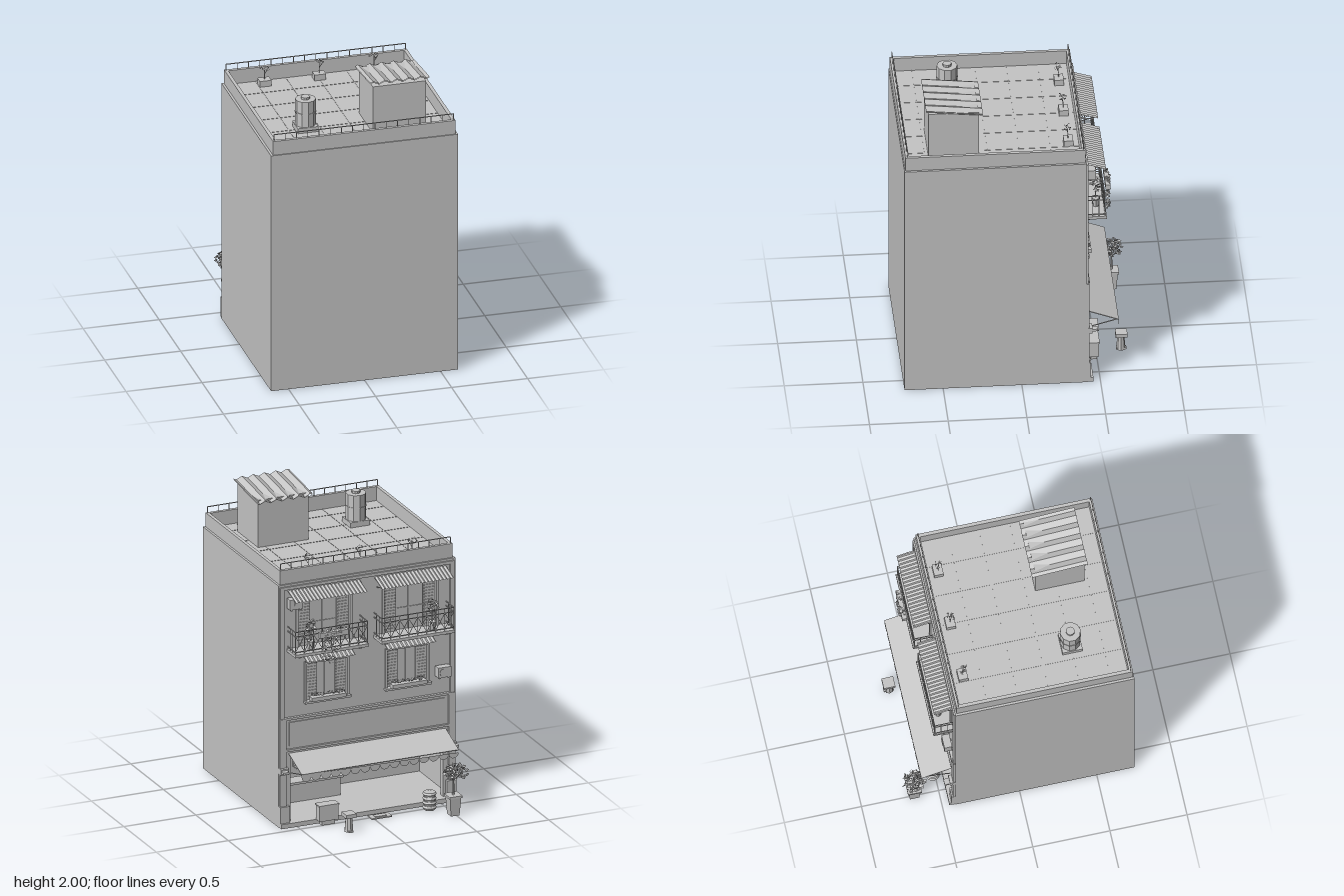
import * as THREE from 'three';
import { mergeGeometries } from 'three/addons/utils/BufferGeometryUtils.js';

export function createModel() {
  const root = new THREE.Group();
  root.name = 'townhouse';
  const plaster = new THREE.MeshStandardMaterial({ color: 0xc4c4c4, side: THREE.DoubleSide, flatShading: true });
  plaster.name = 'plain grey';

  let seed = 7;
  const rnd = () => (seed = (seed * 16807) % 2147483647) / 2147483647;
  const add = (name, geos) => {
    const list = [].concat(geos).map((g) => (g.index ? g.toNonIndexed() : g));
    const mesh = new THREE.Mesh(mergeGeometries(list), plaster);
    mesh.name = name;
    root.add(mesh);
    return mesh;
  };
  // box from its limits
  const box = (x0, x1, y0, y1, z0, z1) =>
    new THREE.BoxGeometry(Math.abs(x1 - x0), y1 - y0, Math.abs(z1 - z0)).translate((x0 + x1) / 2, (y0 + y1) / 2, (z0 + z1) / 2);
  // thin square bar between two points
  const bar = (a, b, w = 0.005) => {
    const p = new THREE.Vector3(...a), q = new THREE.Vector3(...b), d = q.clone().sub(p);
    const g = new THREE.BoxGeometry(w, d.length(), w);
    g.applyQuaternion(new THREE.Quaternion().setFromUnitVectors(new THREE.Vector3(0, 1, 0), d.clone().normalize()));
    return g.translate(...p.add(q).multiplyScalar(0.5).toArray());
  };
  const cyl = (r0, r1, h, n, x, y, z) => new THREE.CylinderGeometry(r0, r1, h, n).translate(x, y + h / 2, z);
  // sloping corrugated sheet
  const corrugated = (x0, x1, za, ya, zb, yb, waves, amp) => {
    const g = new THREE.PlaneGeometry(1, 1, waves * 4, 1), p = g.attributes.position;
    for (let i = 0; i < p.count; i++) {
      const u = p.getX(i) + 0.5, v = p.getY(i) + 0.5;
      p.setXYZ(i, x0 + (x1 - x0) * u, ya + (yb - ya) * v + amp * Math.sin(u * waves * 2 * Math.PI), za + (zb - za) * v);
    }
    g.computeVertexNormals();
    return g;
  };
  // loose cloud of small flat leaves
  const leaves = (x, y, z, rx, ry, rz, n, s) => Array.from({ length: n }, () => {
    const v = new THREE.Vector3(rnd() - 0.5, rnd() - 0.5, rnd() - 0.5).normalize().multiplyScalar(Math.cbrt(rnd()));
    return new THREE.CircleGeometry(s * (0.7 + 0.6 * rnd()), 4).scale(1, 0.6, 1)
      .rotateX(rnd() * 6).rotateY(rnd() * 6).translate(x + v.x * rx, y + v.y * ry, z + v.z * rz);
  });

  const F = -0.415; // facade plane

  // shell, open below
  add('sideWalls', [-1, 1].map((s) => box(s * 0.615, s * 0.6, 0, 1.635, F, 0.745)));
  add('gardenWall', box(-0.615, 0.615, 0, 1.635, 0.73, 0.745));
  add('roofDeck', box(-0.61, 0.61, 1.62, 1.635, F, 0.74));
  const tiles = [];
  for (let i = -2; i <= 2; i++) tiles.push(box(i * 0.2 - 0.001, i * 0.2 + 0.001, 1.635, 1.637, -0.38, 0.71));
  for (let z = -0.2; z < 0.7; z += 0.2) tiles.push(box(-0.58, 0.58, 1.635, 1.637, z - 0.001, z + 0.001));
  add('tileJoints', tiles);
  add('parapet', [box(-0.6, 0.6, 1.63, 1.73, -0.405, -0.382), box(-0.6, 0.6, 1.63, 1.73, 0.715, 0.738),
    ...[-1, 1].map((s) => box(s * 0.6, s * 0.578, 1.63, 1.73, -0.382, 0.715))]);
  for (const z of [-0.393, 0.726]) {
    const g = [bar([-0.59, 1.772, z], [0.59, 1.772, z])];
    for (let i = 0; i <= 16; i++) g.push(bar([-0.59 + i * 0.07375, 1.73, z], [-0.59 + i * 0.07375, 1.772, z], 0.004));
    add('roofRailing', g);
  }

  // facade with openings
  const rect = (C, x0, x1, y0, y1) => new C([[x0, y0], [x1, y0], [x1, y1], [x0, y1]].map((p) => new THREE.Vector2(...p)));
  const wall = rect(THREE.Shape, -0.6, 0.6, 0, 1.62);
  wall.holes.push(rect(THREE.Path, -0.53, 0.53, 0.03, 0.47));
  for (const s of [-1, 1]) {
    wall.holes.push(rect(THREE.Path, s * 0.3 - 0.18, s * 0.3 + 0.18, 1.2, 1.53));
    wall.holes.push(rect(THREE.Path, s * 0.28 - 0.14, s * 0.28 + 0.14, 0.83, 1.08));
  }
  add('facade', new THREE.ExtrudeGeometry(wall, { depth: 0.04, bevelEnabled: false }).translate(0, 0, F));
  add('cornices', [box(-0.58, 0.58, 0.72, 0.735, F, -0.435), box(-0.58, 0.58, 0.505, 0.52, F, -0.43),
    box(-0.58, 0.58, 1.6, 1.62, F, -0.425)]);
  add('signPanel', box(-0.54, 0.54, 0.54, 0.7, F, -0.422));
  add('pilasters', [-1, 1].flatMap((s) => [box(s * 0.61, s * 0.565, 0, 0.73, F, -0.43), box(s * 0.605, s * 0.575, 0.73, 1.62, F, -0.425),
    box(s * 0.612, s * 0.545, 0, 0.14, F, -0.44), box(s * 0.612, s * 0.555, 0.36, 0.4, F, -0.45),
    box(s * 0.61, s * 0.57, 0.375, 0.39, -0.45, -0.485)]));
  add('doorstep', box(-0.61, 0.61, 0, 0.03, F, -0.455));

  // shop room
  add('shopRoom', [box(-0.6, 0.6, 0.01, 0.03, F, 0.07), box(-0.6, 0.6, 0.48, 0.49, F, 0.07), box(-0.6, 0.6, 0.03, 0.48, 0.06, 0.07),
    ...[-1, 1].map((s) => box(s * 0.59, s * 0.58, 0.03, 0.48, F, 0.06))]);
  add('counter', [box(0.05, 0.4, 0.03, 0.15, -0.12, -0.04), box(0.03, 0.42, 0.15, 0.165, -0.13, -0.03)]);
  const shelf = [box(0.1, 0.3, 0.2, 0.4, 0.05, 0.06), box(-0.12, -0.04, 0.22, 0.4, 0.04, 0.06)];
  for (let i = 0; i < 4; i++) {
    shelf.push(box(0.1, 0.3, 0.2 + i * 0.06, 0.208 + i * 0.06, 0, 0.06));
    for (let k = 0; k < 5; k++) shelf.push(cyl(0.01, 0.012, 0.035, 6, 0.12 + k * 0.04, 0.208 + i * 0.06, 0.03));
  }
  add('shelves', shelf);
  add('ceilingLamps', [[0.42, -0.3], [0.14, -0.25], [-0.1, -0.1], [-0.25, -0.25], [0.3, -0.05]].flatMap(([x, z]) =>
    [bar([x, 0.48, z], [x, 0.43, z], 0.003), cyl(0.008, 0.028, 0.02, 8, x, 0.41, z)]));

  // shop awning with a scalloped valance
  const slope = new THREE.BoxGeometry(1.09, 0.005, 0.215).rotateX(-Math.atan2(0.075, 0.2)).translate(0, 0.452, -0.52);
  const val = new THREE.Shape();
  val.moveTo(-0.545, 0.414);
  for (let i = 0; i < 16; i++) {
    const w = 1.09 / 16;
    val.absarc(-0.545 + (i + 0.5) * w, 0.397, w / 2, Math.PI, 2 * Math.PI, false);
  }
  val.lineTo(0.545, 0.414);
  add('shopAwning', slope);
  add('awningValance', new THREE.ShapeGeometry(val, 5).translate(0, 0, -0.62));
  add('awningArms', [-1, 1].map((s) => bar([s * 0.53, 0.36, -0.43], [s * 0.53, 0.412, -0.62])));

  // slatted shutter
  const shutter = (x, w, y0, y1) => {
    const g = [box(x - w / 2, x + w / 2, y0, y1, -0.4, -0.408)];
    for (let y = y0 + 0.015; y < y1 - 0.01; y += 0.02) g.push(box(x - w / 2 + 0.008, x + w / 2 - 0.008, y, y + 0.008, -0.408, -0.413));
    return g;
  };
  const frame = (x, w, y0, y1) => [box(x - w, x - w - 0.015, y0, y1 + 0.015, F, -0.425), box(x + w, x + w + 0.015, y0, y1 + 0.015, F, -0.425),
    box(x - w, x + w, y1, y1 + 0.015, F, -0.425)];
  for (const s of [-1, 1]) {
    const x = s * 0.3, b0 = x - 0.25, b1 = x + 0.25, z = -0.535;
    // balcony doors
    add('balconyDoor', [box(x - 0.18, x + 0.18, 1.2, 1.53, -0.38, -0.39), box(x - 0.005, x + 0.005, 1.2, 1.53, -0.39, -0.398),
      box(x - 0.1, x + 0.1, 1.34, 1.348, -0.39, -0.396), ...frame(x, 0.18, 1.2, 1.53)]);
    add('doorShutters', [...shutter(x - 0.135, 0.085, 1.2, 1.53), ...shutter(x + 0.135, 0.085, 1.2, 1.53)]);
    add('balconyCanopy', corrugated(b0, b1, F, 1.59, -0.54, 1.55, 20, 0.004));
    add('canopyArms', [b0 + 0.02, b1 - 0.02].map((q) => bar([q, 1.52, F], [q, 1.55, -0.53])));
    // balcony
    add('balconySlab', [box(b0 - 0.005, b1 + 0.005, 1.18, 1.2, F, -0.545), box(b0 + 0.03, b0 + 0.05, 1.165, 1.18, F, -0.52), box(b1 - 0.05, b1 - 0.03, 1.165, 1.18, F, -0.52)]);
    const rail = [];
    for (const y of [1.215, 1.32, 1.35]) {
      rail.push(bar([b0, y, z], [b1, y, z]));
      for (const q of [b0, b1]) rail.push(bar([q, y, F], [q, y, z]));
    }
    for (let i = 0; i <= 8; i++) {
      const q = b0 + i * 0.0625;
      rail.push(bar([q, 1.2, z], [q, 1.35, z], 0.004));
      if (i < 8) rail.push(bar([q, 1.215, z], [q + 0.0625, 1.32, z], 0.003), bar([q, 1.32, z], [q + 0.0625, 1.215, z], 0.003));
    }
    for (const q of [b0, b1]) for (const d of [-0.455, -0.495]) rail.push(bar([q, 1.2, d], [q, 1.35, d], 0.004));
    add('balconyRailing', rail);
    // lower windows
    const c = s * 0.28;
    add('window', [box(c - 0.14, c + 0.14, 0.83, 1.08, -0.38, -0.39), box(c - 0.005, c + 0.005, 0.83, 1.08, -0.39, -0.398), ...frame(c, 0.14, 0.83, 1.08),
      box(c - 0.16, c + 0.16, 0.815, 0.83, F, -0.445)]);
    add('windowShutters', [...shutter(c - 0.1, 0.075, 0.83, 1.08), ...shutter(c + 0.1, 0.075, 0.83, 1.08)]);
    add('windowCanopy', [corrugated(c - 0.17, c + 0.17, F, 1.145, -0.49, 1.115, 12, 0.003), ...[-0.15, 0.15].map((q) => bar([c + q, 1.09, F], [c + q, 1.118, -0.485]))]);
    const pots = [box(c - 0.12, c + 0.12, 0.83, 0.855, -0.42, -0.46)];
    for (let i = 0; i < 7; i++) pots.push(...leaves(c - 0.1 + i * 0.033, 0.868, -0.44, 0.016, 0.014, 0.016, 8, 0.009));
    add('windowFlowerBox', pots);
    // air conditioner
    const ay = s > 0 ? 1.48 : 0.86;
    add('airConditioner', [box(s * 0.47, s * 0.56, ay, ay + 0.068, -0.425, -0.475), cyl(0.025, 0.025, 0.004, 12, 0, 0, 0).rotateX(Math.PI / 2).translate(s * 0.505, ay + 0.034, -0.479),
      box(s * 0.48, s * 0.49, ay - 0.01, ay, F, -0.47), box(s * 0.54, s * 0.55, ay - 0.01, ay, F, -0.47)]);
    // balcony plant
    const px = s * 0.42;
    add('balconyPlant', [cyl(0.028, 0.02, 0.06, 8, px, 1.2, -0.485), bar([px, 1.25, -0.485], [px, 1.35, -0.485]), ...leaves(px, 1.36, -0.485, 0.05, 0.045, 0.04, 50, 0.012)]);
  }
  add('hangingVine', [box(0.2, 0.4, 1.3, 1.335, -0.55, -0.58), ...leaves(0.3, 1.33, -0.568, 0.1, 0.025, 0.018, 60, 0.011),
    ...leaves(0.33, 1.22, -0.568, 0.065, 0.13, 0.016, 110, 0.011)]);

  // things on the pavement
  add('pottedTree', [cyl(0.055, 0.042, 0.13, 4, 0, 0, 0).rotateY(Math.PI / 4).translate(-0.49, 0, -0.66), box(-0.535, -0.445, 0.12, 0.135, -0.615, -0.705),
    cyl(0.005, 0.007, 0.16, 6, -0.49, 0.13, -0.66), ...[[-0.05, -0.04], [0.05, 0.03], [-0.03, 0.05], [0.04, -0.05]].map(([a, b]) =>
      bar([-0.49, 0.23, -0.66], [-0.49 + a, 0.3, -0.66 + b])), ...leaves(-0.51, 0.288, -0.66, 0.078, 0.055, 0.075, 200, 0.014)]);
  const rings = [cyl(0.035, 0.035, 0.12, 12, -0.39, 0, -0.515)];
  for (let i = 0; i < 4; i++) rings.push(new THREE.TorusGeometry(0.032, 0.014, 6, 14).rotateX(Math.PI / 2).translate(-0.39, 0.018 + i * 0.03, -0.515));
  add('ringedPlanter', rings);
  add('crate', [box(0.24, 0.37, 0.03, 0.13, -0.45, -0.51), box(0.235, 0.375, 0.13, 0.138, -0.445, -0.515), box(0.26, 0.35, 0, 0.03, -0.46, -0.5)]);
  add('pavementStool', [box(0.2, 0.27, 0.1, 0.125, -0.625, -0.7), cyl(0.022, 0.03, 0.1, 8, 0.235, 0, -0.66), box(0.22, 0.25, 0, 0.012, -0.63, -0.695)]);
  add('doorMat', [box(-0.12, 0.02, 0, 0.008, -0.47, -0.54), box(-0.09, -0.01, 0.008, 0.012, -0.485, -0.525)]);

  // roof hut
  add('roofHut', box(0.1, 0.45, 1.635, 1.955, 0.26, 0.58));
  add('hutRoof', [0, 0.007].map((d) => corrugated(0.08, 0.47, 0.595, 1.982 + d, 0.235, 1.943 + d, 5, 0.009)));

  // water tank
  add('waterTank', [box(-0.36, -0.225, 1.635, 1.67, 0.335, 0.465), cyl(0.066, 0.066, 0.175, 10, -0.292, 1.67, 0.4),
    cyl(0.069, 0.069, 0.008, 10, -0.292, 1.755, 0.4), cyl(0.028, 0.028, 0.016, 10, -0.292, 1.845, 0.4)]);

  // roof planters
  for (const x of [-0.36, 0, 0.36]) {
    add('roofPlanter', [box(x - 0.038, x + 0.038, 1.635, 1.675, -0.285, -0.345), bar([x, 1.67, -0.315], [x, 1.75, -0.31], 0.004),
      bar([x, 1.71, -0.315], [x + 0.025, 1.76, -0.3], 0.003), ...leaves(x, 1.755, -0.308, 0.036, 0.025, 0.025, 16, 0.009)]);
  }
  return root;
}
